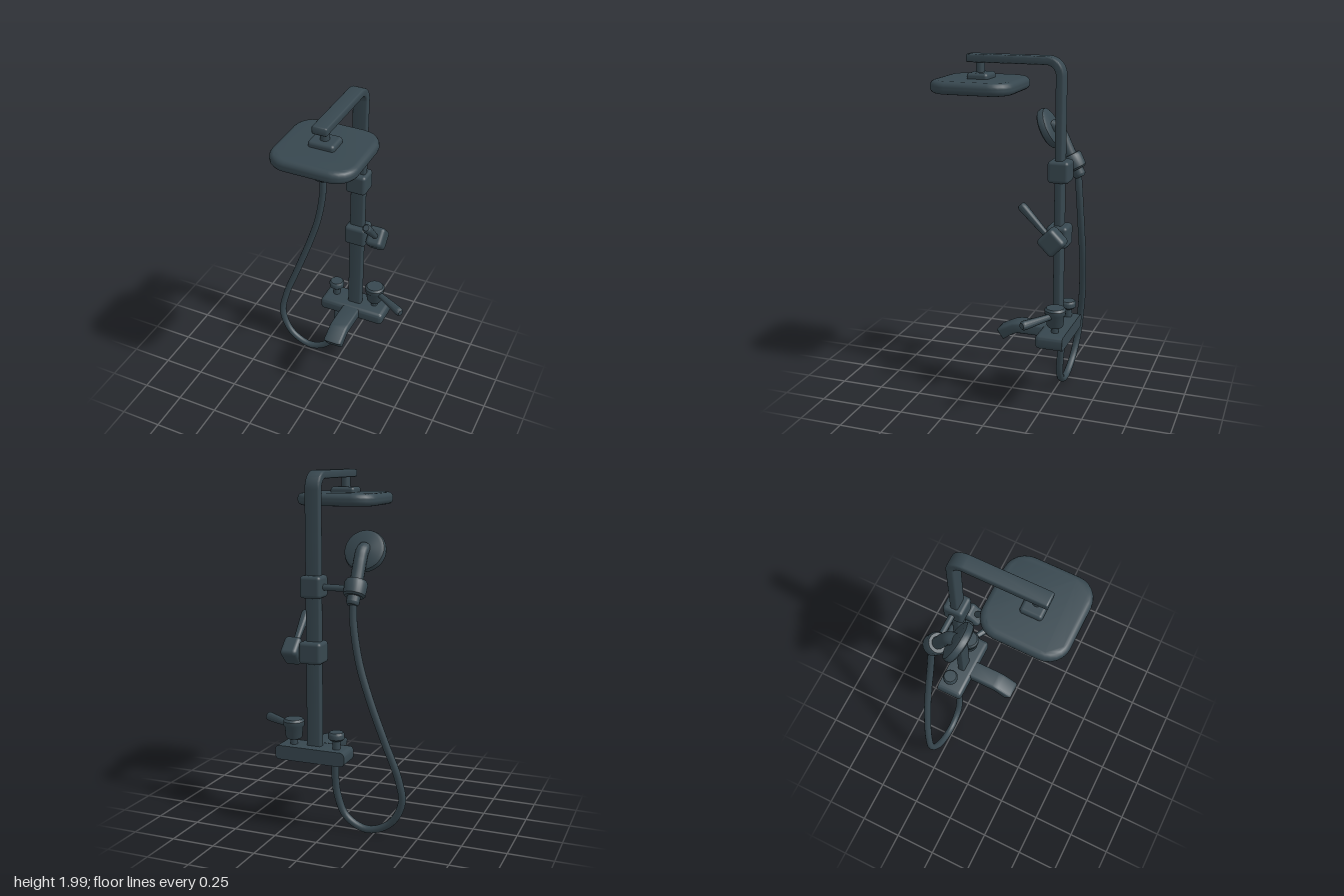
import * as THREE from 'three';
import { toCreasedNormals } from 'three/addons/utils/BufferGeometryUtils.js';
import { RoundedBoxGeometry } from 'three/addons/geometries/RoundedBoxGeometry.js';

export function createModel() {
  const group = new THREE.Group();
  const slate = new THREE.MeshStandardMaterial({ color: 0x37474f });
  slate.name = 'darkSlate';
  const UP = new THREE.Vector3(0, 1, 0);
  const V = (x, y, z) => new THREE.Vector3(x, y, z);

  function add(name, geometry, x = 0, y = 0, z = 0) {
    const mesh = new THREE.Mesh(geometry, slate);
    mesh.name = name;
    mesh.position.set(x, y, z);
    group.add(mesh);
    return mesh;
  }
  const box = (w, h, d, r) => new RoundedBoxGeometry(w, h, d, 3, r);
  // Turned solid from [radius, height] pairs, bottom to top
  const turned = (points, sides = 24) => toCreasedNormals(
    new THREE.LatheGeometry(points.map(([r, h]) => new THREE.Vector2(r, h)), sides).toNonIndexed(), 0.7);
  // Turned solid whose axis starts at a point and follows a direction
  function addAlong(name, geometry, from, direction) {
    const mesh = add(name, geometry, from.x, from.y, from.z);
    mesh.quaternion.setFromUnitVectors(UP, direction.clone().normalize());
    return mesh;
  }
  // Bevelled extrusion of a (z, y) outline across x
  function sideExtrude(shape, width, bevel) {
    const depth = width - 2 * bevel;
    const g = new THREE.ExtrudeGeometry(shape, {
      depth, bevelSize: bevel, bevelThickness: bevel, bevelOffset: -bevel, bevelSegments: 3, curveSegments: 8,
    });
    g.translate(0, 0, -depth / 2).rotateY(-Math.PI / 2);
    return toCreasedNormals(g, 0.7);
  }

  const cx = 0.0875, cz = -0.307;

  // Riser column bending into the overhead arm
  const riser = new THREE.Shape();
  riser.moveTo(-0.33, 0.45);
  riser.lineTo(-0.285, 0.45);
  riser.lineTo(-0.285, 1.9);
  riser.absarc(-0.23, 1.9, 0.055, Math.PI, Math.PI / 2, true);
  riser.lineTo(0.21, 1.955);
  riser.quadraticCurveTo(0.22, 1.955, 0.22, 1.965);
  riser.lineTo(0.22, 1.99);
  riser.quadraticCurveTo(0.22, 2, 0.21, 2);
  riser.lineTo(-0.23, 2);
  riser.absarc(-0.23, 1.9, 0.1, Math.PI / 2, Math.PI, false);
  riser.closePath();
  add('riserAndArm', sideExtrude(riser, 0.085, 0.01), cx);

  // Overhead shower plate with its mount
  const a = 0.208, r = 0.09, s = new THREE.Shape();
  s.moveTo(a - r, -a);
  [[1, -1], [1, 1], [-1, 1], [-1, -1]].forEach(([sx, sy], i) => {
    const start = -Math.PI / 2 + i * Math.PI / 2;
    s.absarc(sx * (a - r), sy * (a - r), r, start, start + Math.PI / 2, false);
  });
  const head = new THREE.ExtrudeGeometry(s, {
    depth: 0.01, bevelSize: 0.03, bevelThickness: 0.03, bevelSegments: 4, curveSegments: 3,
  });
  head.translate(0, 0, -0.005).rotateX(-Math.PI / 2);
  add('showerHead', toCreasedNormals(head, 0.7), cx, 1.835, 0.15);
  add('headMount', box(0.147, 0.045, 0.122, 0.018), cx, 1.879, 0.146);
  add('headNeck', new THREE.CylinderGeometry(0.025, 0.025, 0.1, 20), cx, 1.92, 0.15);

  // Wall body: rounded in front, flat at the back
  const body = box(0.415, 0.08, 0.16, 0.025);
  const p = body.attributes.position;
  for (let i = 0; i < p.count; i++) if (p.getZ(i) < 0) p.setZ(i, -0.08);
  add('valveBody', toCreasedNormals(body, 0.7), cx, 0.454, -0.31);

  // Bath spout
  const spout = new THREE.Shape();
  [[-0.25, 0.425], [-0.08, 0.425], [-0.05, 0.415], [0.008, 0.375], [0.047, 0.43],
    [0.035, 0.443], [-0.045, 0.482], [-0.08, 0.489], [-0.25, 0.489]]
    .forEach(([z, y], i) => (i ? spout.lineTo(z, y) : spout.moveTo(z, y)));
  add('spout', sideExtrude(spout, 0.112, 0.014), cx);

  // Diverter knob
  add('diverterStem', new THREE.CylinderGeometry(0.022, 0.022, 0.08, 16), -0.05, 0.52, -0.328);
  add('diverterKnob', turned([[0, 0], [0.035, 0], [0.045, 0.01], [0.046, 0.035], [0.038, 0.046], [0, 0.047]]),
    -0.05, 0.545, -0.328);

  // Lower valve and its lever
  add('lowerValveStem', new THREE.CylinderGeometry(0.021, 0.021, 0.08, 16), 0.208, 0.52, -0.325);
  add('lowerValve', turned([[0, 0], [0.04, 0], [0.047, 0.01], [0.051, 0.065], [0.058, 0.073], [0.06, 0.1],
    [0.05, 0.112], [0, 0.113]]), 0.208, 0.528, -0.325);
  const lever = (length) => turned([[0, 0], [0.016, 0], [0.018, 0.07], [0.026, length - 0.025],
    [0.025, length - 0.01], [0.017, length], [0, length]], 16);
  addAlong('lowerLever', lever(0.255), V(0.208, 0.598, -0.33), V(0.155, 0, 0.09));

  // Upper valve on the column, turned on its edge, with its lever
  add('midBracket', box(0.132, 0.122, 0.12, 0.02), 0.092, 1.025, -0.309);
  add('upperValve', box(0.1, 0.122, 0.122, 0.024), 0.216, 1.022, -0.306).rotation.x = Math.PI / 4;
  addAlong('upperLever', lever(0.265), V(0.216, 1.022, -0.306), V(0, 0.19, 0.18));

  // Slide bracket and bar to the hand shower holder
  add('slideBracket', box(0.123, 0.122, 0.12, 0.02), cx, 1.386, -0.309);
  const bar = add('holderBar', new THREE.CylinderGeometry(0.018, 0.018, 0.18, 16), -0.04, 1.385, -0.312);
  bar.rotation.z = Math.PI / 2;

  // Holder, tilted forward
  const hx = -0.156, tilt = V(0, 0.88, 0.47);
  addAlong('handHolder', turned([[0, -0.045], [0.05, -0.045], [0.06, -0.035], [0.063, 0.03], [0.055, 0.045],
    [0, 0.045]]), V(hx, 1.387, -0.315), tilt);

  // Hand shower handle and spray disc
  const handle = new THREE.CatmullRomCurve3([V(hx, 1.32, -0.35), V(hx, 1.39, -0.314), V(hx, 1.46, -0.28),
    V(hx, 1.53, -0.247), V(hx, 1.575, -0.218), V(hx, 1.59, -0.18)]);
  add('handle', new THREE.TubeGeometry(handle, 24, 0.036, 16));
  addAlong('handleCollar', turned([[0, 0], [0.028, 0], [0.036, 0.012], [0.036, 0.05], [0, 0.05]], 16),
    V(hx, 1.305, -0.358), tilt);
  addAlong('sprayDisc', turned([[0, -0.027], [0.095, -0.027], [0.112, -0.018], [0.118, 0], [0.115, 0.017],
    [0.105, 0.025], [0, 0.025]], 32), V(hx, 1.573, -0.172), V(0, -0.43, 0.9));

  // Hose looping from the handle to the body
  const hose = new THREE.CatmullRomCurve3([
    [hx, 1.33, -0.343], [-0.16, 1.21, -0.352], [-0.195, 1.0, -0.358], [-0.255, 0.8, -0.355],
    [-0.335, 0.57, -0.338], [-0.405, 0.36, -0.31], [-0.421, 0.22, -0.292], [-0.35, 0.085, -0.277],
    [-0.21, 0.026, -0.271], [-0.09, 0.085, -0.275], [-0.038, 0.22, -0.288], [-0.032, 0.43, -0.312],
  ].map((q) => V(...q)));
  add('hose', new THREE.TubeGeometry(hose, 90, 0.021, 12));

  return group;
}
